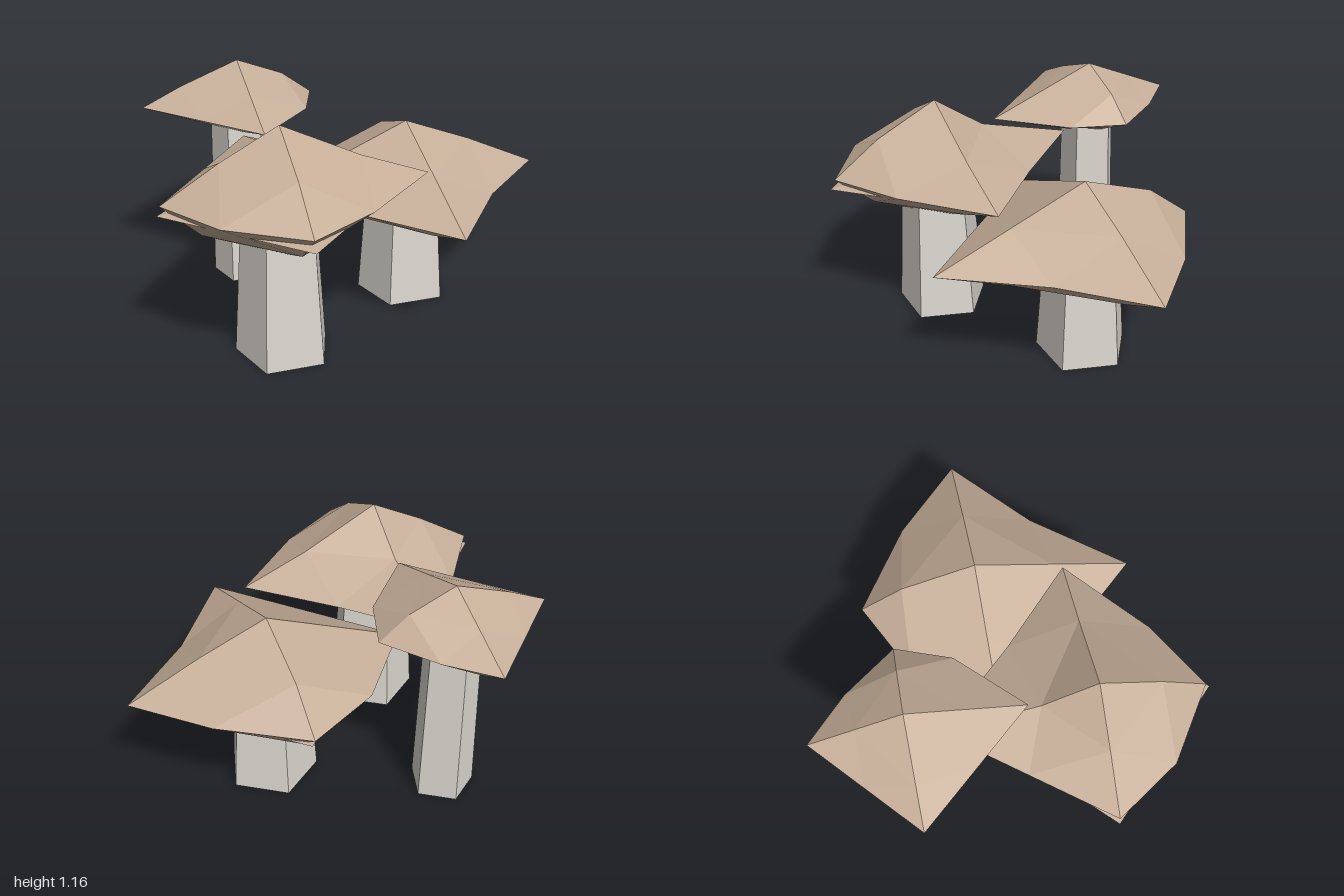
import * as THREE from 'three';

const capMaterial = new THREE.MeshStandardMaterial({ color: 0xc8b09a, flatShading: true });
const stemMaterial = new THREE.MeshStandardMaterial({ color: 0xdcd8d0, flatShading: true });

// Irregular low-poly cap: a once-divided octahedron with its own reach along
// each half axis. "mids" places an edge midpoint as fractions of its two tips.
function capGeometry(tips, mids = {}) {
  const geometry = new THREE.OctahedronGeometry(1, 1);
  const position = geometry.attributes.position;
  for (let i = 0; i < position.count; i++) {
    const v = [position.getX(i), position.getY(i), position.getZ(i)];
    const keys = v.map((c, a) => (Math.abs(c) < 0.01 ? '' : (c > 0 ? '+' : '-') + 'xyz'[a]));
    const used = keys.filter(Boolean);
    const fractions = used.length === 1 ? [1] : mids[used.join('')] ?? [0.5, 0.5];
    const out = keys.map((key) =>
      key ? fractions[used.indexOf(key)] * tips[key] * (key[0] === '+' ? 1 : -1) : 0);
    position.setXYZ(i, ...out);
  }
  geometry.computeVertexNormals();
  return geometry;
}

// Five-sided tapered stem with a recessed foot
function stemGeometry(radius, topRadius, height, footFactor) {
  const inner = radius * footFactor;
  const profile = [[0, 0.06], [inner * 0.9, 0.06], [inner, 0], [radius, 0], [topRadius, height], [0, height]];
  const geometry = new THREE.LatheGeometry(profile.map(([x, y]) => new THREE.Vector2(x, y)), 5);
  return geometry.rotateY(Math.PI);
}

function addMesh(parent, name, geometry, material, y = 0) {
  const mesh = new THREE.Mesh(geometry, material);
  mesh.name = name;
  mesh.position.y = y;
  parent.add(mesh);
}

const mushrooms = [
  {
    name: 'frontMushroom', x: -0.44, z: 0.38, stem: [0.231, 0.18, 0.75, 0.65], capY: 0.81,
    tips: { '+x': 0.7, '-x': 0.54, '+y': 0.31, '-y': 0.31, '+z': 0.53, '-z': 0.72 },
    mids: {
      '-x+z': [0.63, 0.58], '+x+z': [0.46, 0.64], '+x-z': [0.5, 0.47],
      '+y+z': [0.53, 0.57], '+y-z': [0.43, 0.35], '+x+y': [0.53, 0.41], '-x+y': [0.5, 0.54],
      '-x-y': [0.67, 0.53], '-y+z': [0.52, 0.64],
    },
    gills: { y: 0.765, reach: 0.555 },
  },
  {
    name: 'sideMushroom', x: 0.306, z: -0.04, stem: [0.231, 0.192, 0.55, 0.65], capY: 0.615,
    tips: { '+x': 0.69, '-x': 0.69, '+y': 0.295, '-y': 0.26, '+z': 0.77, '-z': 0.57 },
    mids: {
      '+x+y': [0.48, 0.56], '+x-y': [0.57, 0.58], '-x-y': [0.47, 0.6],
      '+y-z': [0.56, 0.63], '-y-z': [0.63, 0.67], '-y+z': [0.6, 0.49],
      '+x-z': [0.56, 0.54], '+x+z': [0.47, 0.44], '-x-z': [0.53, 0.67],
    },
    gills: { y: 0.56, reach: 0.54 },
  },
  {
    name: 'backMushroom', x: -0.43, z: -0.48, stem: [0.16, 0.14, 0.9, 0.95], capY: 0.96,
    tips: { '+x': 0.375, '-x': 0.48, '+y': 0.2, '-y': 0.18, '+z': 0.55, '-z': 0.445 },
    mids: {
      '+x-z': [0.53, 0.56], '+x+z': [0.75, 0.47], '+x+y': [0.61, 0.55],
      '-x+y': [0.6, 0.45], '-y-z': [0.6, 0.6],
    },
  },
];

export function createModel() {
  const model = new THREE.Group();
  model.name = 'mushroomCluster';
  for (const { name, x, z, stem, capY, tips, mids, gills } of mushrooms) {
    const mushroom = new THREE.Group();
    mushroom.name = name;
    mushroom.position.set(x, 0, z);
    addMesh(mushroom, 'stem', stemGeometry(...stem), stemMaterial);
    addMesh(mushroom, 'cap', capGeometry(tips, mids), capMaterial, capY);
    // Flat gill layer whose tips just show under the cap rim
    if (gills) {
      const r = gills.reach;
      const reach = { '+x': r, '-x': r, '+y': 0.08, '-y': 0.1, '+z': r, '-z': r };
      addMesh(mushroom, 'gills', capGeometry(reach), capMaterial, gills.y);
    }
    model.add(mushroom);
  }
  return model;
}
